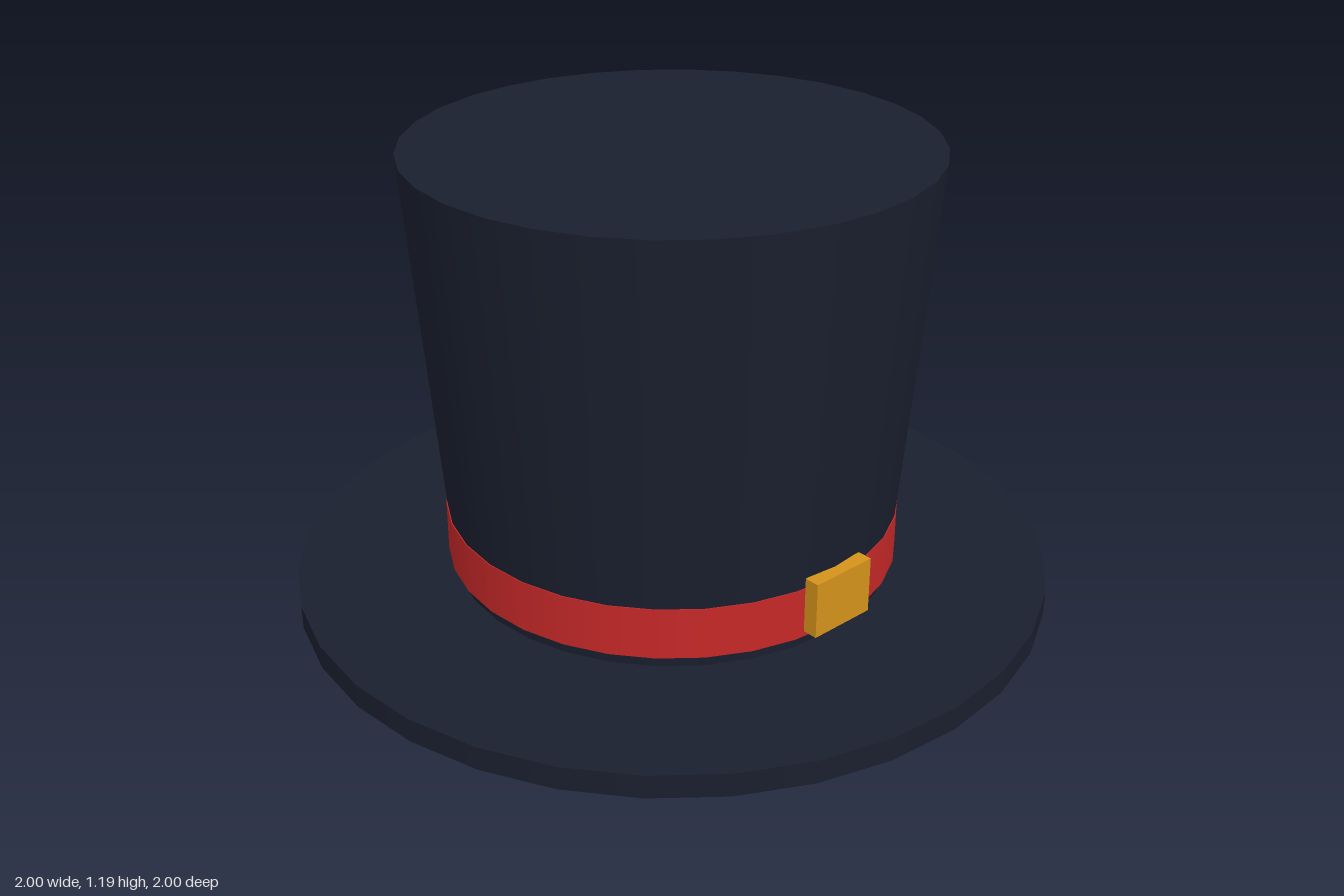
import * as THREE from 'three';

const SIDES = 32;

export function createModel() {
  const hat = new THREE.Group();
  hat.name = 'topHat';
  const felt = new THREE.MeshStandardMaterial({ color: 0x1a1f2e });
  const ribbon = new THREE.MeshStandardMaterial({ color: 0xc62828 });
  const gold = new THREE.MeshStandardMaterial({ color: 0xd4921a });

  // Round part given by its top and bottom radius and the heights it spans
  const round = (name, rTop, rBottom, y0, y1, material) => {
    const mesh = new THREE.Mesh(new THREE.CylinderGeometry(rTop, rBottom, y1 - y0, SIDES), material);
    mesh.name = name;
    mesh.position.y = (y0 + y1) / 2;
    hat.add(mesh);
  };

  // Flat brim, flared crown and the ribbon around its foot
  round('brim', 1, 1, 0, 0.062, felt);
  round('crown', 0.675, 0.585, 0.062, 1.193, felt);
  round('band', 0.601, 0.601, 0.095, 0.232, ribbon);

  // Buckle on the front of the band
  const buckle = new THREE.Mesh(new THREE.BoxGeometry(0.186, 0.15, 0.04), gold);
  buckle.name = 'buckle';
  buckle.position.set(0, 0.186, 0.613);
  hat.add(buckle);

  return hat;
}
